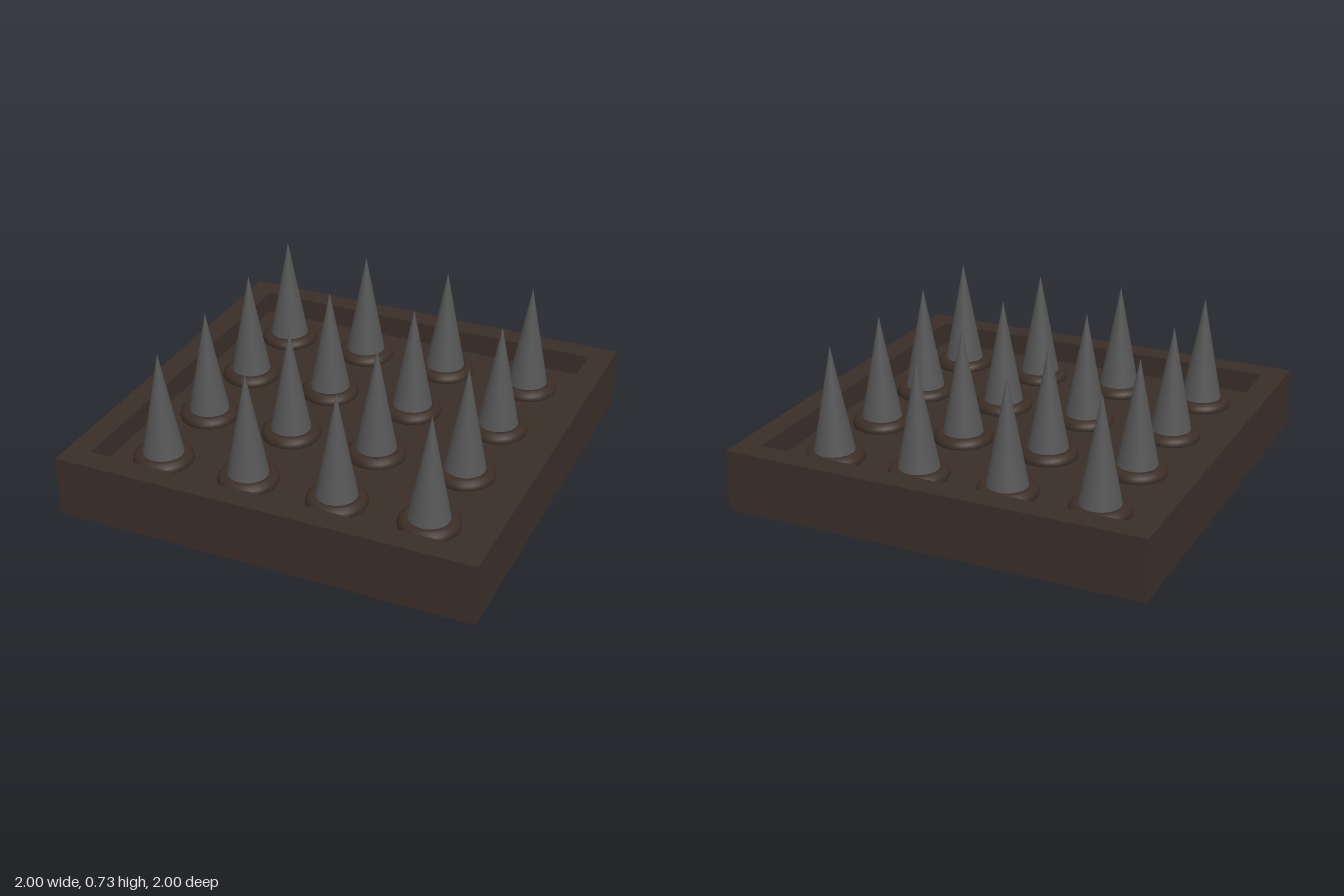
import * as THREE from 'three';

export function createModel() {
  const group = new THREE.Group();
  const wood = new THREE.MeshStandardMaterial({ color: 0x3a2d28 });
  const collarWood = new THREE.MeshStandardMaterial({ color: 0x3a2d25 });
  const metal = new THREE.MeshStandardMaterial({ color: 0x555555 });
  const height = 0.29, floorY = 0.18, rim = 0.113;

  const add = (name, geometry, material, x, y, z) => {
    const mesh = new THREE.Mesh(geometry, material);
    mesh.name = name;
    mesh.position.set(x, y, z);
    group.add(mesh);
  };

  // Solid slab forming the recessed floor and the underside
  const inner = 2 - 2 * rim;
  add('floor', new THREE.BoxGeometry(inner, floorY, inner), wood, 0, floorY / 2, 0);

  // Raised border
  for (const side of [-1, 1]) {
    const offset = side * (1 - rim / 2);
    add('frontBackRim', new THREE.BoxGeometry(2, height, rim), wood, 0, height / 2, offset);
    add('sideRim', new THREE.BoxGeometry(rim, height, inner), wood, offset, height / 2, 0);
  }

  // Grid of spikes, each rising from a rounded collar
  const tipY = 0.725, spikeHeight = tipY - floorY;
  const spike = new THREE.ConeGeometry(0.103, spikeHeight, 32);
  const collar = new THREE.TorusGeometry(0.106, 0.035, 12, 32).rotateX(Math.PI / 2);
  const spacing = 0.435;
  for (let row = 0; row < 4; row++) {
    for (let col = 0; col < 4; col++) {
      const x = (col - 1.5) * spacing, z = (row - 1.5) * spacing;
      add('spike', spike, metal, x, floorY + spikeHeight / 2, z);
      add('collar', collar, collarWood, x, floorY + 0.01, z);
    }
  }
  return group;
}
